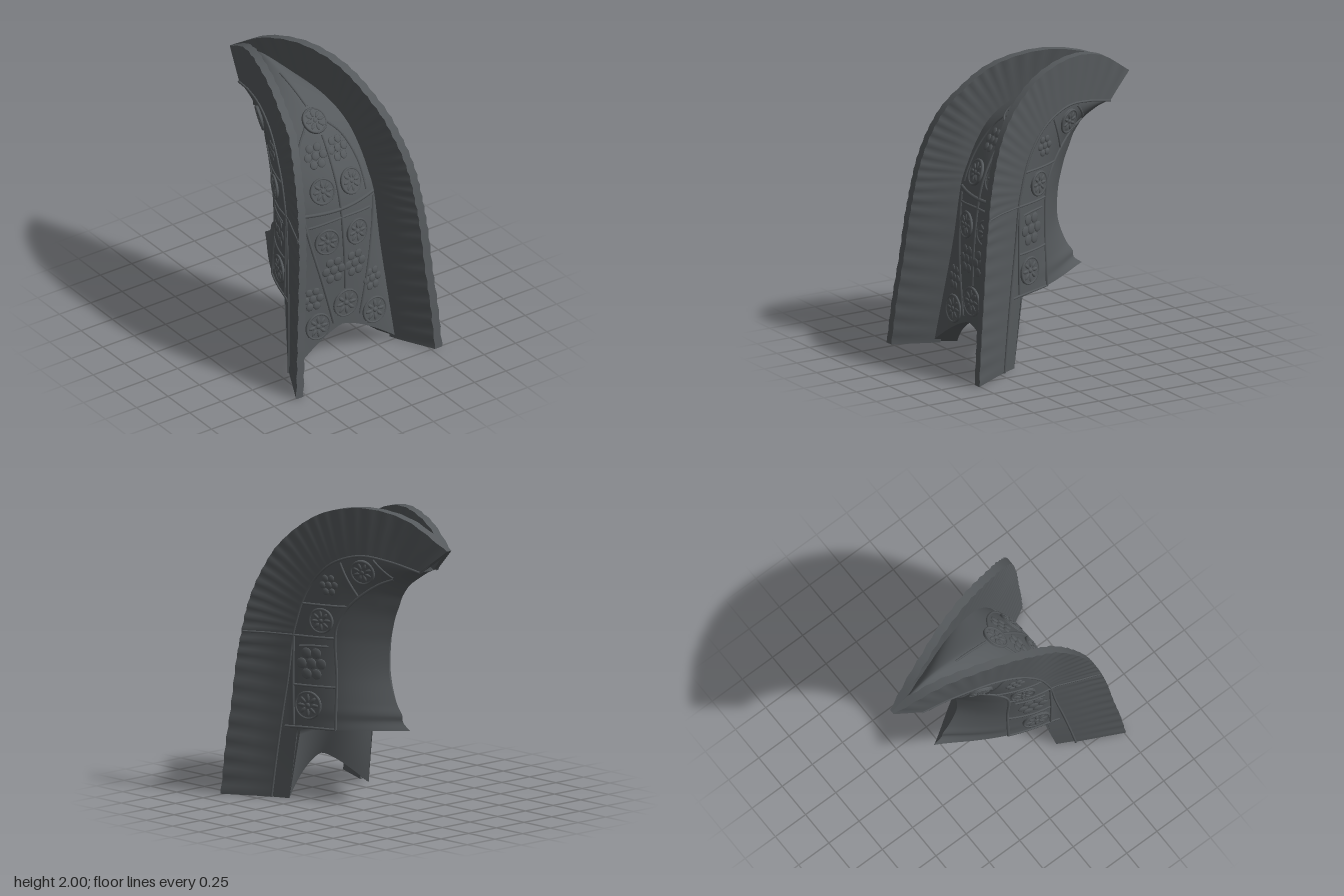
import * as THREE from 'three';
import { toCreasedNormals } from 'three/addons/utils/BufferGeometryUtils.js';

const V = (x, y, z) => new THREE.Vector3(x, y, z);
const { lerp, clamp } = THREE.MathUtils;

// Plan of the side walls at depth z: half width and sideways drift
function table(rows, z) {
  let i = 0;
  while (i < rows.length - 2 && z > rows[i + 1][0]) i++;
  const [a, b] = [rows[i], rows[i + 1]];
  return lerp(a[1], b[1], clamp((z - a[0]) / (b[0] - a[0]), 0, 1));
}
const half = z => table([[-0.76, 0.022], [-0.6, 0.075], [-0.4, 0.135], [-0.2, 0.205], [0, 0.265], [0.2, 0.322],
  [0.35, 0.368], [0.5, 0.44], [0.6, 0.495], [0.76, 0.585]], z);
const drift = z => table([[-0.76, -0.04], [0, -0.015], [0.35, -0.008], [0.5, -0.015], [0.76, 0]], z);
// Side wall x on side sg; the right wall leans in a little as it rises
const wall = (sg, y, z, width = 1, inset = 0) => {
  const lean = sg < 0 ? 0.045 * clamp((z - 0.2) / 0.4, 0, 1) * clamp(y, 0, 1) : 0;
  return drift(z) + sg * Math.max(0, half(z) * width - lean - inset);
};

// Profile curves in (z, y)
const curve = pts => new THREE.CatmullRomCurve3(pts.map(([z, y]) => V(0, y, z)), false, 'centripetal');
const wingOuter = curve([[0.76, 0], [0.735, 0.3], [0.70, 0.6], [0.67, 0.9], [0.64, 1.1], [0.60, 1.3], [0.53, 1.5],
  [0.43, 1.68], [0.27, 1.84], [0.08, 1.95], [-0.2, 2], [-0.48, 1.945], [-0.76, 1.77]]);
const wingInner = curve([[0.46, 0], [0.43, 0.25], [0.39, 0.55], [0.345, 0.85], [0.315, 1.1], [0.29, 1.2], [0.25, 1.33],
  [0.19, 1.45], [0.10, 1.56], [0, 1.63], [-0.17, 1.68], [-0.36, 1.66], [-0.57, 1.61]]);
const shellFront = curve([[0.39, 0.47], [0.385, 0.53], [0.375, 0.6], [0.37, 0.68], [0.345, 0.85], [0.315, 1.1], [0.29, 1.2],
  [0.25, 1.33], [0.19, 1.45], [0.10, 1.56], [0, 1.63], [-0.17, 1.68], [-0.36, 1.66], [-0.57, 1.61]]);
const shellBack = curve([[-0.40, 0.51], [-0.335, 0.56], [-0.33, 0.6], [-0.28, 0.67], [-0.21, 0.85], [-0.213, 1.05], [-0.235, 1.15],
  [-0.265, 1.25], [-0.30, 1.33], [-0.33, 1.4], [-0.365, 1.45], [-0.40, 1.49], [-0.48, 1.545], [-0.58, 1.61]]);
const panelMid = curve([[0.475, 0.24], [0.465, 0.5], [0.45, 0.8], [0.41, 1.1], [0.365, 1.25], [0.26, 1.45], [0.13, 1.62],
  [-0.05, 1.75], [-0.25, 1.83], [-0.45, 1.86], [-0.70, 1.76]]);
const panelEdge = curve([[0.50, 0], [0.45, 0.3], [0.385, 0.7], [0.335, 1.1], [0.295, 1.22], [0.24, 1.36], [0.16, 1.5],
  [0.05, 1.6], [-0.12, 1.67], [-0.35, 1.67], [-0.57, 1.6]]);

// Front panel point: t runs upward, s across, d = 1 gives the inner edge
function panel(t, s, d = 0) {
  const m = panelMid.getPoint(t), e = panelEdge.getPoint(t), ze = e.z - 0.15 * d;
  const x = lerp(wall(-1, e.y, ze, 1, 0.01), wall(1, e.y, ze, 1, 0.01), (s + 1) / 2);
  return V(x, lerp(m.y, e.y, Math.pow(Math.abs(s), 1.4)), lerp(m.z - 0.05 * d, ze, s * s));
}
// Front panel point under a given x and y
function onPanel(x, y) {
  let lo = 0, hi = 0.88, p;
  for (let i = 0; i < 24; i++) {
    const t = (lo + hi) / 2, e = panelEdge.getPoint(t);
    const l = wall(-1, e.y, e.z, 1, 0.01), r = wall(1, e.y, e.z, 1, 0.01);
    p = panel(t, clamp((2 * x - l - r) / (r - l), -1, 1));
    if (p.y < y) lo = t; else hi = t;
  }
  return V(x, p.y, p.z);
}

// Shell point: u runs upward, k from the wing to the sharp middle of the back
const taper = k => 1 - Math.pow(k, 3.2);
function shell(sg, u, k) {
  const p = shellFront.getPoint(u).lerp(shellBack.getPoint(u), k);
  return V(wall(sg, p.y, p.z, taper(k)), p.y, p.z);
}
// Shell point beside a given z and y, by a shrinking search
function onSide(sg, z, y) {
  let u = 0.5, k = 0.5;
  for (let step = 0.25; step > 0.0004; step *= 0.6) {
    let best = Infinity, next;
    for (let i = -2; i <= 2; i++) for (let j = -2; j <= 2; j++) {
      const a = clamp(u + i * step, 0, 1), b = clamp(k + j * step, 0, 1), p = shell(sg, a, b);
      const d = Math.hypot(p.z - z, p.y - y);
      if (d < best) { best = d; next = [a, b]; }
    }
    [u, k] = next;
  }
  return V(wall(sg, y, z, taper(k), -0.001), y, z);
}

// Surface through a grid of points
function grid(nu, nv, fn, crease) {
  const pos = [], idx = [];
  for (let i = 0; i <= nu; i++) for (let j = 0; j <= nv; j++) {
    pos.push(...fn(i / nu, j / nv, j).toArray());
    if (i < nu && j < nv) {
      const a = i * (nv + 1) + j, b = a + nv + 1;
      idx.push(a, b, a + 1, b, b + 1, a + 1);
    }
  }
  const g = new THREE.BufferGeometry();
  g.setAttribute('position', new THREE.Float32BufferAttribute(pos, 3));
  g.setIndex(idx);
  g.computeVertexNormals();
  return crease ? toCreasedNormals(g, crease) : g;
}

export function createModel() {
  const model = new THREE.Group();
  model.name = 'headdress';
  const iron = new THREE.MeshStandardMaterial({ color: 0x55595c, side: THREE.DoubleSide });
  iron.name = 'dark iron';
  const add = (name, geo, parent = model) => {
    const m = new THREE.Mesh(geo, iron);
    m.name = name;
    parent.add(m);
    return m;
  };
  const ridge = (name, pts, r = 0.008) =>
    add(name, new THREE.TubeGeometry(new THREE.CatmullRomCurve3(pts, false, 'centripetal'), pts.length * 3, r, 6));
  const place = (g, p, n) => {
    g.position.copy(p);
    g.quaternion.setFromUnitVectors(V(0, 0, 1), n.normalize());
    model.add(g);
  };

  // Round ornament with a rim, a hub and eight petals
  function rosette(p, n, r) {
    const g = new THREE.Group();
    g.name = 'rosette';
    add('disc', new THREE.CylinderGeometry(r, r, 0.016, 32).rotateX(Math.PI / 2), g);
    add('rim', new THREE.TorusGeometry(r * 0.93, 0.008, 6, 32), g).position.z = 0.005;
    add('hub', new THREE.SphereGeometry(r * 0.18, 10, 6).scale(1, 1, 0.6), g).position.z = 0.006;
    for (let i = 0; i < 8; i++)
      add('petal', new THREE.SphereGeometry(1, 8, 6).scale(r * 0.29, r * 0.13, 0.008)
        .translate(r * 0.52, 0, 0.007).rotateZ(i * Math.PI / 4), g);
    place(g, p, n);
  }
  // Embossed flower of soft bumps
  function flower(p, n, r) {
    const g = new THREE.Group();
    g.name = 'embossedFlower';
    for (let i = 0; i < 7; i++) {
      const a = i * Math.PI / 3, d = i < 6 ? r * 0.7 : 0;
      add('bump', new THREE.SphereGeometry(1, 10, 6).scale(r * 0.36, r * 0.36, 0.008)
        .translate(Math.cos(a) * d, Math.sin(a) * d * 1.15, 0), g);
    }
    place(g, p, n);
  }

  // Front panel, and the underside that curves from its lower edge to the back point
  add('frontPanel', grid(48, 24, (u, v) => panel(u, v * 2 - 1)));
  add('panelLip', grid(1, 24, (u, v) => panel(0, v * 2 - 1, u)));
  add('underside', grid(30, 24, (u, v) => {
    const k = lerp(0.13, 1, Math.max(0, (u - 0.3) / 0.7));
    const roof = shell(-1, 0, k).lerp(shell(1, 0, k), v);
    return panel(0, v * 2 - 1, 1).lerp(roof, Math.min(1, u / 0.3));
  }));

  for (const sg of [1, -1]) {
    const side = sg > 0 ? 'left' : 'right';
    add(side + 'Cheek', grid(10, 1, (u, v) => panel(u * 0.18, sg, v)));

    // Softly pleated wing: outer face, rim and inner face in one closed section
    const wing = (u, w, inner, pleat) => {
      const o = wingOuter.getPoint(u), a = wingInner.getPoint(u);
      const y = lerp(a.y, o.y, w), z = lerp(a.z, o.z, w);
      const drop = sg < 0 ? 0.05 * w * Math.max(0, (y - 1.1) / 0.9) * (1 - Math.pow(u, 8)) : 0;
      return V(wall(sg, y, z, 1, 0.003 - pleat * w + (inner ? lerp(0.035, 0.058, w) : 0)), y - drop, z);
    };
    const pleats = 30;
    add(side + 'Wing', grid(pleats * 4, 9, (u, v, j) =>
      wing(u, (j > 4 ? 9 - j : j) / 4, j > 4, 0.004 * Math.sin(u * pleats * Math.PI * 2)), 0.6));
    for (const u of [0, 1]) add(side + 'WingEnd', grid(1, 4, (a, w) => wing(u, w, a, 0)));

    // Side of the shell, narrowing to the middle of the back
    add(side + 'Shell', grid(52, 28, (u, v) => shell(sg, u, v)));

    // Raised borders of the ornamental band
    const line = (name, pts, r) => {
      const c = curve(pts).getPoints(pts.length * 3);
      ridge(side + name, c.map(p => onSide(sg, p.z, p.y)), r);
    };
    ridge(side + 'WingSeam', wingInner.getPoints(30).map(p => V(wall(sg, p.y, p.z), p.y, p.z)), 0.008);
    line('BandBack', [[0.03, 0.49], [0.035, 0.8], [0.04, 1.1], [0.02, 1.2], [-0.05, 1.32], [-0.15, 1.42], [-0.25, 1.49], [-0.34, 1.53]], 0.01);
    line('BandFront', [[0.31, 0.5], [0.315, 0.8], [0.31, 1.1]], 0.009);
    line('WingSeamAcross', [[0.63, 1.1], [0.48, 1.1], [0.32, 1.1]], 0.006);
    for (const bar of [[[0.37, 0.485], [0.2, 0.49], [0.03, 0.49]], [[0.32, 0.77], [0.18, 0.77], [0.04, 0.77]],
      [[0.32, 1.1], [0.18, 1.1], [0.04, 1.1]], [[0.25, 1.32], [0.1, 1.32], [-0.04, 1.32]],
      [[-0.02, 1.62], [-0.06, 1.52], [-0.11, 1.4]], [[-0.25, 1.66], [-0.30, 1.6], [-0.34, 1.54]]]) line('BandBar', bar);
    line('PlaqueTop', [[0.27, 1.03], [0.18, 1.04], [0.08, 1.04]]);

    // Ornaments in the band, turned to follow the shell
    const out = (z, y) => {
      const e = 0.05, a = onSide(sg, z + e, y).sub(onSide(sg, z - e, y)), b = onSide(sg, z, y + e).sub(onSide(sg, z, y - e));
      return b.cross(a).multiplyScalar(sg);
    };
    for (const [z, y, r] of [[0.21, 0.64, 0.095], [0.12, 1.215, 0.085], [-0.17, 1.57, 0.085]]) rosette(onSide(sg, z, y), out(z, y), r);
    for (const [z, y, r] of [[0.19, 0.92, 0.1], [0.065, 1.46, 0.065]]) flower(onSide(sg, z, y), out(z, y), r);
  }

  // Front ornaments, turned to follow the panel
  const normal = (x, y) => {
    const e = 0.03, a = onPanel(x + e, y).sub(onPanel(x - e, y)), b = onPanel(x, y + e).sub(onPanel(x, y - e));
    return a.cross(b);
  };
  for (const [x, y, r] of [[0, 1.62, 0.09], [-0.1, 1.23, 0.09], [0.13, 1.23, 0.09], [-0.11, 0.88, 0.09], [0.13, 0.88, 0.09],
    [0.015, 0.39, 0.1], [-0.21, 0.285, 0.095], [0.24, 0.26, 0.095]]) rosette(onPanel(x, y), normal(x, y), r);
  for (const [x, y, r] of [[-0.08, 1.44, 0.08], [0.1, 1.44, 0.08], [-0.07, 0.66, 0.085], [0.1, 0.66, 0.085],
    [-0.235, 0.49, 0.075], [0.24, 0.49, 0.075]]) flower(onPanel(x, y), normal(x, y), r);

  // Raised lines on the front panel
  const front = (name, pts, r) => {
    const c = new THREE.CatmullRomCurve3(pts.map(([x, y]) => V(x, y, 0)), false, 'centripetal');
    ridge(name, c.getPoints(14).map(p => onPanel(p.x, p.y)), r);
  };
  front('middleRidge', [[0.015, 0.5], [0.015, 1.54]], 0.01);
  front('crestRidge', [[-0.005, 1.69], [-0.03, 1.82]], 0.008);
  front('crossBarTop', [[-0.28, 1.09], [0.015, 1.08], [0.31, 1.09]], 0.013);
  front('crossBarBottom', [[-0.23, 1.0], [0.015, 1.02], [0.26, 1.0]], 0.009);
  for (const sg of [1, -1]) {
    front('slantRidge', [[0.025 + sg * 0.28, 1.06], [0.025 + sg * 0.25, 0.88], [0.02 + sg * 0.105, 0.27]], 0.01);
    front('archRidge', [[sg * 0.25, 1.13], [sg * 0.235, 1.32], [sg * 0.17, 1.5], [sg * 0.08, 1.6]], 0.009);
  }
  return model;
}
